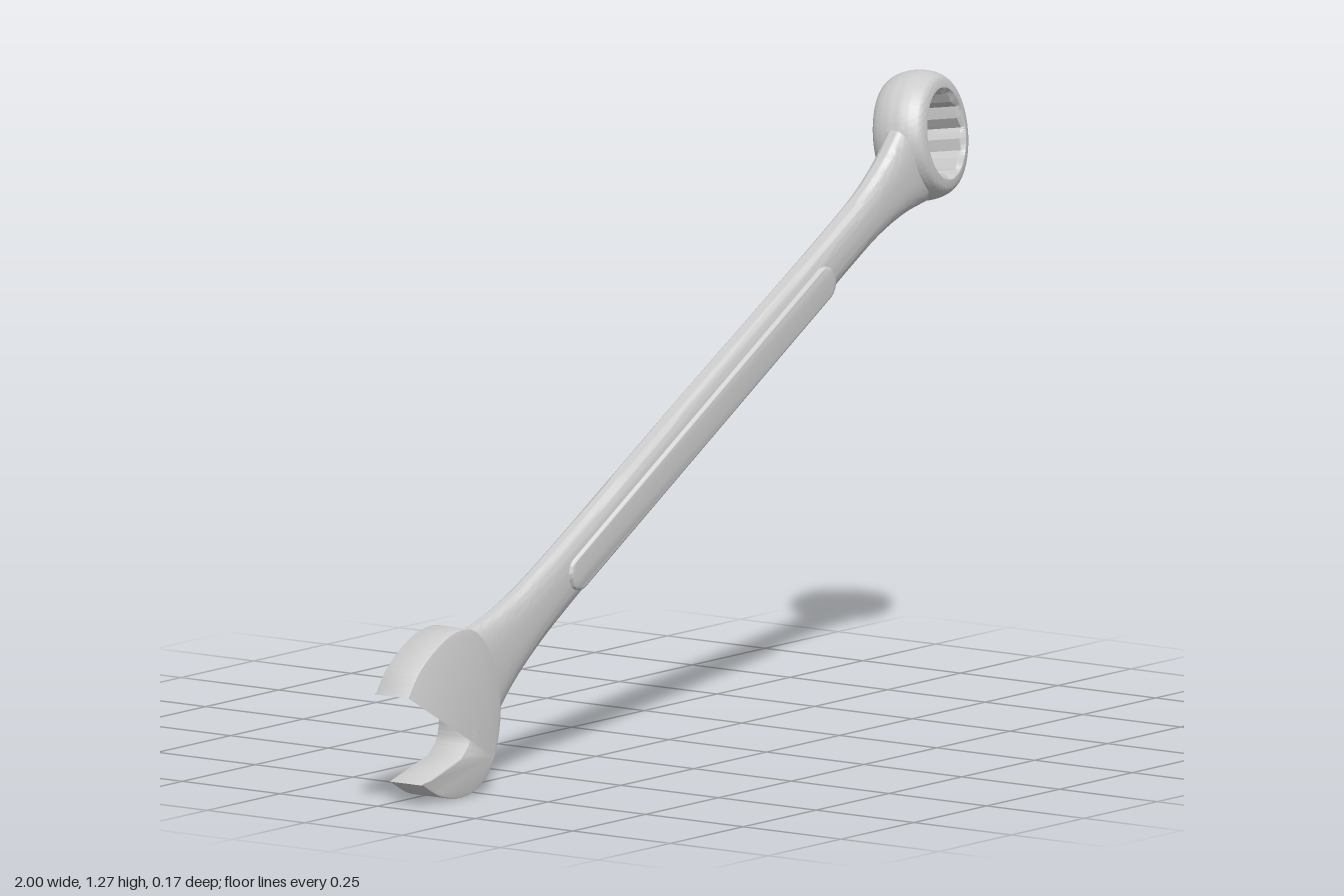
import * as THREE from 'three';
import { toCreasedNormals } from 'three/addons/utils/BufferGeometryUtils.js';

const metal = new THREE.MeshStandardMaterial({ color: 0xcccccc });

function part(name, geometry, crease = 0.6) {
  const mesh = new THREE.Mesh(toCreasedNormals(geometry, crease), metal);
  mesh.name = name;
  return mesh;
}

// Skin a list of closed loops that all have the same number of points
function loft(loops) {
  const n = loops[0].length, index = [];
  for (let i = 0; i < loops.length - 1; i++) {
    for (let j = 0; j < n; j++) {
      const k = (j + 1) % n;
      const a = i * n + j, b = i * n + k, c = a + n, d = b + n;
      index.push(a, b, c, b, d, c);
    }
  }
  const g = new THREE.BufferGeometry();
  g.setAttribute('position', new THREE.Float32BufferAttribute(loops.flat(2), 3));
  g.setIndex(index);
  return g;
}

const loop = (n, fn) => Array.from({ length: n }, (_, j) => fn((j / n) * Math.PI * 2));
const pts = (list) => list.map(([x, y]) => new THREE.Vector2(x, y));

// Open jaw: outline in the front plane, extruded with a small bevel
function openJaw() {
  const s = new THREE.Shape();
  s.moveTo(-1.0, 0.233);
  s.splineThru(pts([[-0.962, 0.282], [-0.9, 0.325], [-0.835, 0.349], [-0.772, 0.343], [-0.72, 0.295],
    [-0.69, 0.23], [-0.682, 0.155], [-0.699, 0.08], [-0.73, 0.033], [-0.77, 0.009], [-0.82, 0.001],
    [-0.89, 0.013], [-0.952, 0.045]]));
  s.lineTo(-0.82, 0.083);
  s.splineThru(pts([[-0.79, 0.115], [-0.783, 0.165], [-0.793, 0.215], [-0.818, 0.25], [-0.862, 0.265]]));
  s.closePath();
  const g = new THREE.ExtrudeGeometry(s, {
    depth: 0.079, curveSegments: 60, bevelEnabled: true,
    bevelThickness: 0.004, bevelSize: 0.004, bevelOffset: -0.004, bevelSegments: 2,
  });
  g.translate(0, 0, -0.003);
  return part('openJaw', g);
}

// Shaft: rounded section swept along x, flaring into both heads
function shaft() {
  const curve = new THREE.CatmullRomCurve3([   // x, half width, half thickness
    [0.06, 0.143, 0.030], [0.11, 0.12, 0.030], [0.2, 0.089, 0.030], [0.32, 0.070, 0.030],
    [0.48, 0.063, 0.030], [0.95, 0.060, 0.029], [1.58, 0.052, 0.029], [1.68, 0.055, 0.030],
    [1.77, 0.070, 0.033], [1.84, 0.093, 0.037],
  ].map((p) => new THREE.Vector3(...p)), false, 'centripetal');
  const power = (v, e) => Math.sign(v) * Math.abs(v) ** e;
  const section = (x, w, t) => loop(48, (a) =>
    [x, w * power(Math.cos(a), 0.8), t * power(Math.sin(a), 0.8)]);
  const loops = curve.getPoints(90).map((p) => section(p.x, p.y, p.z));
  loops.unshift(section(0.06, 0, 0));
  loops.push(section(1.84, 0, 0));
  const mesh = part('shaft', loft(loops), 0.9);
  mesh.position.z = 0.033;
  return mesh;
}

// Raised grip panel with round ends on the front of the shaft
function gripPanel() {
  const r = 0.032, s = new THREE.Shape();
  s.absarc(1.46, 0, r, -Math.PI / 2, Math.PI / 2);
  s.absarc(0.49, 0, r, Math.PI / 2, Math.PI * 1.5);
  s.closePath();
  const g = new THREE.ExtrudeGeometry(s, {
    depth: 0.024, curveSegments: 16, bevelEnabled: true,
    bevelThickness: 0.006, bevelSize: 0.006, bevelOffset: -0.002, bevelSegments: 4,
  });
  const mesh = part('gripPanel', g, 0.9);
  mesh.position.set(0, -0.009, 0.039);
  return mesh;
}

// Box end: bulging ring with a twelve-point socket
function boxEnd() {
  const apothem = 0.079;
  const hex = (a) => {
    const step = Math.PI / 3;
    return apothem / Math.cos(a - Math.round(a / step) * step);
  };
  const socket = (a) => Math.max(hex(a), hex(a + Math.PI / 6));
  const outer = new THREE.SplineCurve(pts([[0.102, -0.059], [0.118, -0.053], [0.130, -0.032],
    [0.135, 0], [0.130, 0.032], [0.118, 0.053], [0.102, 0.059]])).getPoints(28);
  const circle = (r, z) => loop(144, (a) => [r * Math.cos(a), r * Math.sin(a), z]);
  const star = (z) => loop(144, (a) => [socket(a) * Math.cos(a), socket(a) * Math.sin(a), z]);
  const loops = [
    circle(0.095, -0.059),
    ...outer.map((p) => circle(p.x, p.y)),
    circle(0.095, 0.059),
    star(0.050), star(-0.050),
    circle(0.095, -0.059),
  ];
  const mesh = part('boxEnd', loft(loops), 0.4);
  mesh.position.set(1.942, -0.003, 0);
  mesh.rotation.y = THREE.MathUtils.degToRad(15);
  return mesh;
}

export function createModel() {
  const model = new THREE.Group();
  model.name = 'combinationWrench';

  // Handle and ring are built along x, then tilted up
  const handle = new THREE.Group();
  handle.name = 'handle';
  handle.position.set(-0.82, 0.172, 0);
  handle.rotation.z = Math.PI / 6;
  handle.add(shaft(), gripPanel(), boxEnd());

  model.add(openJaw(), handle);
  return model;
}
